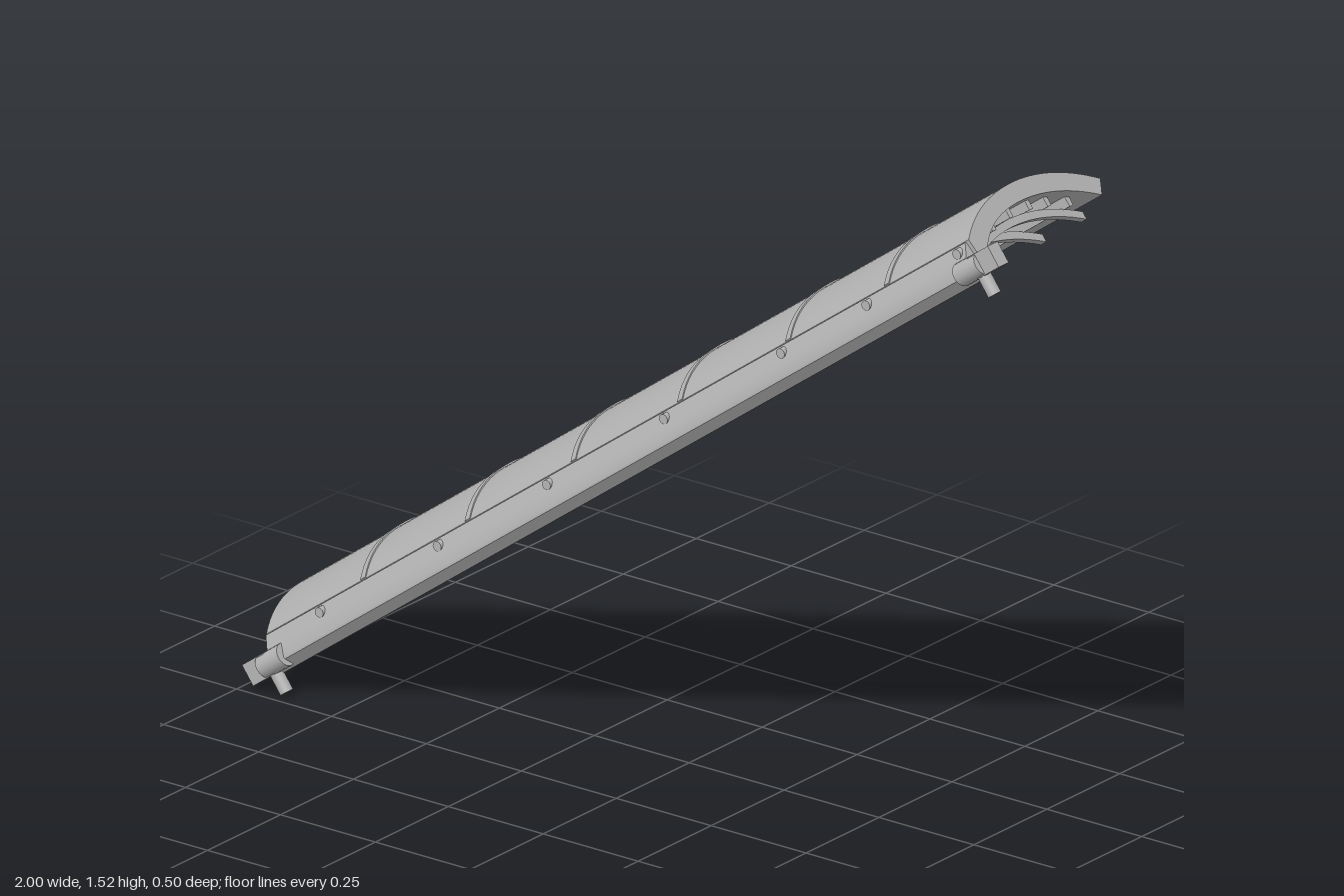
import * as THREE from 'three';
import { toCreasedNormals } from 'three/addons/utils/BufferGeometryUtils.js';

const grey = new THREE.MeshStandardMaterial({ color: 0xb4b4b4 });
grey.name = 'plain grey';

// Height of the curved faces below the crown, steeper towards the front.
const outerV = (z) => -z * z / 0.83 - (z > 0 ? 12.5 * z ** 4 : 0);
const innerV = (z) => -0.043 - z * z / 0.82 - (z > 0 ? 39 * z ** 4 : 0);

// Points [z, v] along a height rule from z0 to z1.
function curve(rule, z0, z1, offset = 0, n = 28) {
  const pts = [];
  for (let i = 0; i <= n; i++) {
    const z = z0 + (z1 - z0) * i / n;
    pts.push([z, rule(z) + offset]);
  }
  return pts;
}

// Extrudes a [z, v] cross-section along the length from u0 to u1.
function prism(name, pts, u0, u1) {
  const shape = new THREE.Shape(pts.map(([z, v]) => new THREE.Vector2(-z, v)));
  let geo = new THREE.ExtrudeGeometry(shape, { depth: u1 - u0, bevelEnabled: false });
  geo.rotateY(Math.PI / 2);
  geo.translate(u0, 0, 0);
  geo = toCreasedNormals(geo, 0.5);
  const mesh = new THREE.Mesh(geo, grey);
  mesh.name = name;
  return mesh;
}

function box(name, w, h, d, u, v, z) {
  const mesh = new THREE.Mesh(new THREE.BoxGeometry(w, h, d), grey);
  mesh.name = name;
  mesh.position.set(u, v, z);
  return mesh;
}

// Cylinder along the length ('u'), the height ('v') or the depth ('z').
function rod(name, r, len, axis, u, v, z) {
  const geo = new THREE.CylinderGeometry(r, r, len, 20);
  if (axis === 'u') geo.rotateZ(Math.PI / 2);
  if (axis === 'z') geo.rotateX(Math.PI / 2);
  const mesh = new THREE.Mesh(geo, grey);
  mesh.name = name;
  mesh.position.set(u, v, z);
  return mesh;
}

export function createModel() {
  const model = new THREE.Group();
  model.name = 'inclinedCover';
  const cover = new THREE.Group();
  cover.name = 'cover';
  cover.rotation.z = Math.PI / 5;
  cover.position.set(-0.73 * Math.sin(Math.PI / 5), 0.73 * Math.cos(Math.PI / 5), 0);
  model.add(cover);

  const start = -0.706, end = 1.581;

  // Curved shell
  cover.add(prism('shell', [
    ...curve(outerV, -0.247, 0.2),
    ...curve(innerV, 0.19, -0.228),
  ], start, end));

  // Front rail with a bevelled underside
  cover.add(prism('frontRail', [
    [0.188, -0.072], [0.203, -0.07], [0.222, -0.1], [0.235, -0.128],
    [0.235, -0.134], [0.212, -0.157], [0.196, -0.157], [0.188, -0.135],
  ], start, end - 0.01));

  // Raised bands over the joints
  for (const u of [-0.39, -0.05, 0.295, 0.642, 0.994, 1.315]) {
    cover.add(prism('jointBand', [
      ...curve(outerV, -0.25, 0.2, 0.003),
      ...curve(outerV, 0.198, -0.246, -0.004),
    ], u - 0.008, u + 0.008));
  }

  // Studs along the front
  for (const u of [-0.526, -0.142, 0.214, 0.595, 0.976, 1.254, 1.55]) {
    cover.add(rod('stud', 0.011, 0.03, 'z', u, -0.084, 0.206));
  }

  // Lengthwise strips on the inside
  for (const z of [0.15, 0.08, 0.015, -0.05, -0.105, -0.165]) {
    cover.add(box('liningStrip', 2.2, 0.026, 0.012, 0.448, innerV(z) - 0.008, z));
  }

  // Hoops across the strips, with a dropped front end
  const ribRule = (z) => -0.064 - z * z / 0.82 - (z > 0 ? 20 * z ** 4 : 0);
  for (let i = 0; i < 17; i++) {
    const u = -0.578 + i * 0.131;
    cover.add(prism('hoop', [
      ...curve(ribRule, -0.21, 0.142, 0, 20),
      [0.15, -0.113], [0.168, -0.118], [0.168, -0.136], [0.145, -0.132],
      ...curve(ribRule, 0.135, -0.21, -0.018, 20),
    ], u - 0.009, u + 0.009));
  }

  // Couplings at both ends of the rail
  const couplings = [
    { name: 'lowerCoupling', sleeve: -0.695, tip: -0.74, stub: -0.715 },
    { name: 'upperCoupling', sleeve: 1.575, tip: 1.62, stub: 1.59 },
  ];
  for (const c of couplings) {
    const part = new THREE.Group();
    part.name = c.name;
    part.add(rod('sleeve', 0.026, 0.07, 'u', c.sleeve, -0.126, 0.225));
    part.add(box('tip', 0.068, 0.05, 0.034, c.tip, -0.126, 0.22));
    part.add(rod('stub', 0.015, 0.06, 'v', c.stub, -0.166, 0.218));
    cover.add(part);
  }
  return model;
}
